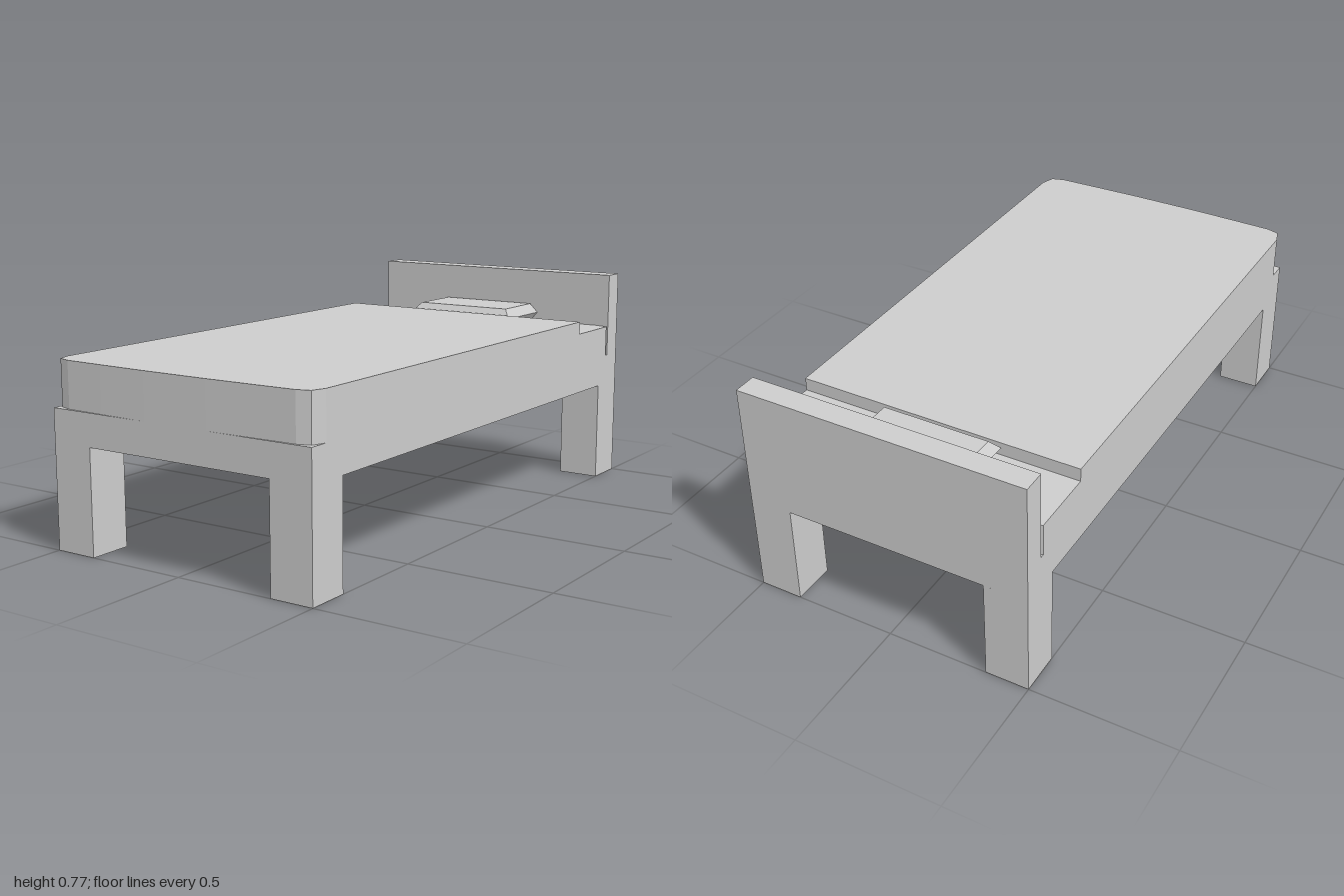
import * as THREE from 'three';
import { ConvexGeometry } from 'three/addons/geometries/ConvexGeometry.js';

export function createModel() {
  const bed = new THREE.Group();
  bed.name = 'bed';
  const grey = new THREE.MeshStandardMaterial({ color: 0xcccccc });
  grey.name = 'light grey';

  const add = (name, geometry) => {
    const mesh = new THREE.Mesh(geometry, grey);
    mesh.name = name;
    bed.add(mesh);
    return mesh;
  };
  // Box given by its minimum and maximum corners
  const box = (name, [x0, y0, z0], [x1, y1, z1]) =>
    add(name, new THREE.BoxGeometry(x1 - x0, y1 - y0, z1 - z0))
      .position.set((x0 + x1) / 2, (y0 + y1) / 2, (z0 + z1) / 2);
  // Upright slab from the +x half of a symmetric [x, z] outline
  const slab = (name, half, y0, y1) => {
    const outline = [...half, ...half.map(([x, z]) => [-x, z]).reverse()];
    const shape = new THREE.Shape(outline.map(([x, z]) => new THREE.Vector2(x, -z)));
    const geometry = new THREE.ExtrudeGeometry(shape, { depth: y1 - y0, bevelEnabled: false });
    geometry.rotateX(-Math.PI / 2).translate(0, y0, 0);
    add(name, geometry);
  };

  // Frame, headboard and four square legs
  box('frame', [-0.5, 0.355, -1], [0.5, 0.465, 1]);
  box('headboard', [-0.5, 0.465, -1], [0.5, 0.77, -0.92]);
  for (const x of [-0.5, 0.35]) {
    for (const z of [-1, 0.85]) box('leg', [x, 0, z], [x + 0.15, 0.355, z + 0.15]);
  }

  // Exposed head end of the mattress, with small cut corners
  slab('mattress', [[0.45, -0.92], [0.5, -0.907], [0.5, -0.675]], 0.465, 0.575);

  // Blanket with rounded foot corners and a slightly bowed foot
  slab('blanket', [
    [0.5, -0.675], [0.5, 0.93], [0.484, 0.978], [0.44, 0.992], [0.3, 0.996], [0.12, 1],
  ], 0.465, 0.62);

  // Pillow with bevelled edges, widest at mid height
  const corners = [];
  for (const [y, inset] of [[0.575, 0.025], [0.607, 0], [0.64, 0.028]]) {
    for (const x of [-0.232 + inset, 0.198 - inset]) {
      for (const z of [-0.92 + inset * 0.3, -0.682 - inset]) corners.push(new THREE.Vector3(x, y, z));
    }
  }
  add('pillow', new ConvexGeometry(corners));

  return bed;
}
